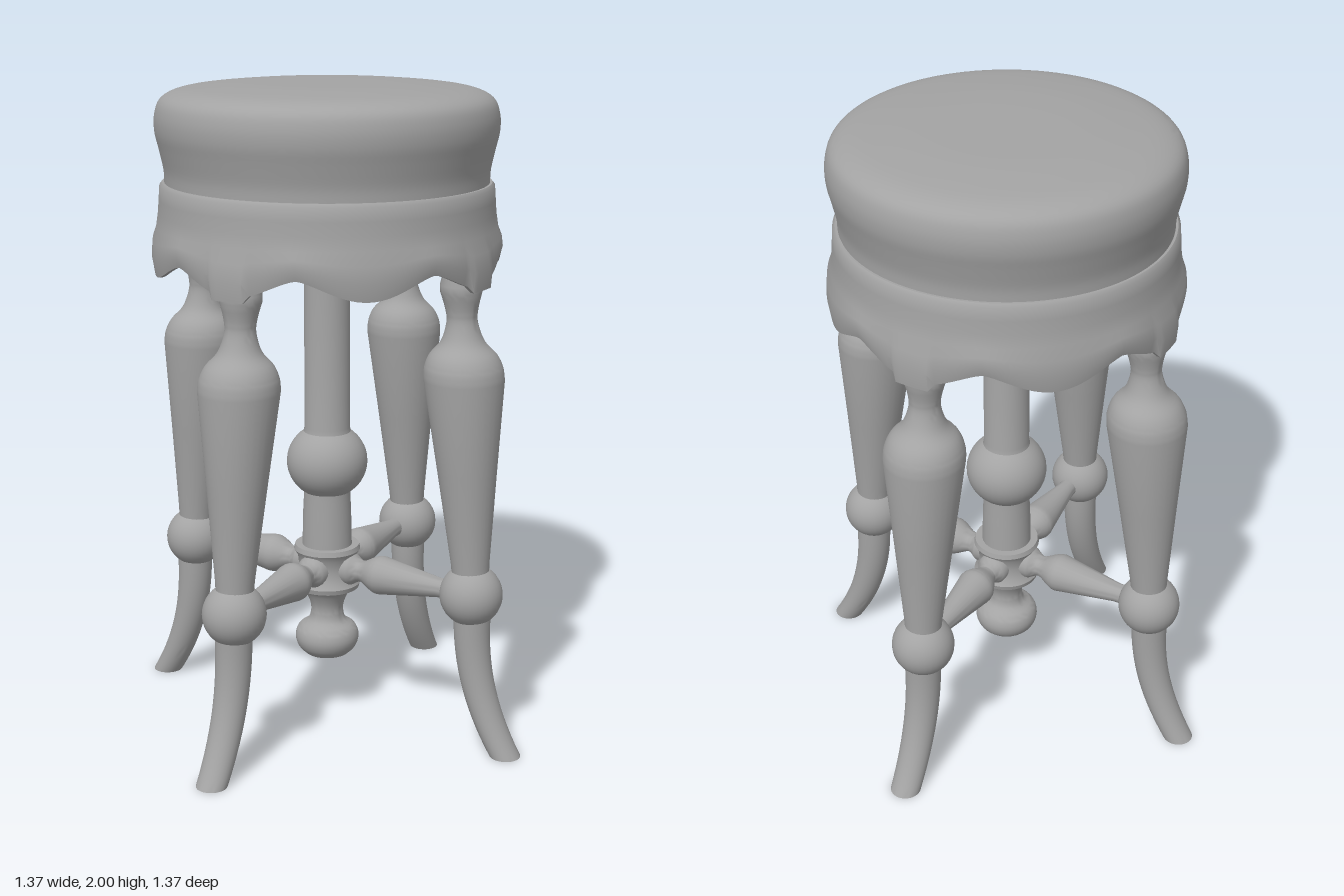
import * as THREE from 'three';
import { toCreasedNormals } from 'three/addons/utils/BufferGeometryUtils.js';

const material = new THREE.MeshStandardMaterial({ color: 0xa3a3a3 });

// Profiles are [radius, height] pairs, listed bottom to top
const lathe = (points, segments = 32) =>
  new THREE.LatheGeometry(points.map(([r, y]) => new THREE.Vector2(r, y)), segments);

// Rounds a profile with a smooth curve
const smooth = (points, n = 24) =>
  new THREE.SplineCurve(points.map(([r, y]) => new THREE.Vector2(r, y)))
    .getPoints(n).map((p) => [Math.max(p.x, 0), p.y]);

function bend(geometry, rule) {
  const pos = geometry.attributes.position;
  const v = new THREE.Vector3();
  for (let i = 0; i < pos.count; i++) {
    rule(v.fromBufferAttribute(pos, i));
    pos.setXYZ(i, v.x, v.y, v.z);
  }
  return geometry;
}

function part(name, geometry) {
  const mesh = new THREE.Mesh(toCreasedNormals(geometry, 0.7), material);
  mesh.name = name;
  return mesh;
}

// Leaning line of the legs
const leanX = (y) => 0.455 + (1.45 - y) * 0.058;

function createApron() {
  // Underside with a coved rim, then the flared outer wall
  const profile = [[0, 1.6], [0.36, 1.6], [0.43, 1.585], [0.475, 1.54], [0.505, 1.44],
    [0.517, 1.44], [0.525, 1.49], [0.521, 1.54], [0.51, 1.58], [0.504, 1.62],
    [0.501, 1.66], [0.498, 1.7], [0.49, 1.71], [0.46, 1.71]];
  const quarter = Math.PI / 2;
  // Scalloped lower edge with a squared tab over every leg
  return bend(lathe(profile, 192), (v) => {
    if (v.y > 1.581) return;
    const angle = Math.atan2(v.x, v.z);
    const fromLeg = Math.abs(angle - Math.round(angle / quarter) * quarter);
    const isTab = fromLeg < 0.115;
    const edge = isTab ? 1.43 : 1.5 - 0.06 * Math.abs(Math.cos(4 * fromLeg)) ** 1.4;
    const drop = (1.58 - v.y) / 0.14;
    v.y = 1.58 - drop * (1.58 - edge);
    if (isTab) {
      const grow = 1 + 0.022 * drop;
      v.x *= grow;
      v.z *= grow;
    }
  });
}

function createLeg() {
  const leg = new THREE.Group();
  leg.name = 'leg';

  // Turned upper leg: neck, shoulder and long taper
  const neck = smooth([[0.119, 1.17], [0.115, 1.2], [0.099, 1.235], [0.064, 1.275],
    [0.046, 1.33], [0.048, 1.37], [0.061, 1.42]]);
  const upper = lathe([[0.055, 0.55], [0.058, 0.6], [0.088, 0.88], [0.119, 1.16],
    ...neck, [0.061, 1.44], [0.045, 1.5], [0.04, 1.62]]);
  leg.add(part('upperLeg', bend(upper, (v) => { v.x += leanX(v.y); })));

  // Ball joint
  const ball = part('legBall', new THREE.SphereGeometry(0.095, 32, 20));
  ball.position.set(0.51, 0.5, 0);
  leg.add(ball);

  // Lower leg sweeping outwards to the foot
  const lower = new THREE.CylinderGeometry(0.056, 0.047, 0.45, 28, 16);
  lower.translate(0, 0.23, 0);
  leg.add(part('foot', bend(lower, (v) => {
    const t = Math.max(0, (0.42 - v.y) / 0.42);
    v.x += 0.515 + 0.125 * t ** 2.2;
  })));

  // Turned stretcher running from the hub to the ball
  const spindle = smooth([[0.05, 0.095], [0.034, 0.122], [0.036, 0.14], [0.053, 0.172],
    [0.06, 0.195], [0.057, 0.22]], 16);
  const stretcher = lathe([[0.05, 0.05], ...spindle, [0.03, 0.4], [0.03, 0.45]], 24);
  stretcher.rotateZ(-Math.PI / 2).translate(0, 0.5, 0);
  leg.add(part('stretcher', stretcher));
  return leg;
}

export function createModel() {
  const stool = new THREE.Group();
  stool.name = 'stool';

  // Padded round seat
  const seat = smooth([[0.483, 1.71], [0.485, 1.75], [0.498, 1.81], [0.509, 1.86], [0.508, 1.91],
    [0.49, 1.953], [0.44, 1.978], [0.35, 1.99], [0.24, 1.998], [0.1, 2], [0, 2]], 40);
  stool.add(part('seatCushion', lathe([[0, 1.705], ...seat], 96)));
  stool.add(part('apron', createApron()));

  // Central column with its ball
  const columnBall = [];
  for (let i = 0; i <= 14; i++) {
    const a = -0.95 + (i / 14) * 1.9;
    columnBall.push([0.125 * Math.cos(a), 0.84 + 0.118 * Math.sin(a)]);
  }
  stool.add(part('column', lathe([[0.078, 0.55], [0.075, 0.68], [0.073, 0.72], ...columnBall,
    [0.07, 0.95], [0.07, 1.62]], 40)));

  // Waisted hub holding the stretchers
  stool.add(part('hub', lathe([[0, 0.43], [0.1, 0.43], [0.104, 0.445], [0.092, 0.465],
    [0.088, 0.5], [0.092, 0.535], [0.104, 0.555], [0.1, 0.57], [0, 0.57]], 40)));

  // Finial under the hub
  const bulb = smooth([[0.068, 0.208], [0.09, 0.23], [0.1, 0.262], [0.09, 0.295],
    [0.06, 0.318], [0.051, 0.345], [0.053, 0.375], [0.068, 0.41], [0.085, 0.43]], 28);
  stool.add(part('finial', lathe([[0, 0.208], ...bulb], 40)));

  // Four legs around the column
  for (let i = 0; i < 4; i++) {
    const leg = createLeg();
    leg.rotation.y = (i * Math.PI) / 2;
    stool.add(leg);
  }
  return stool;
}
